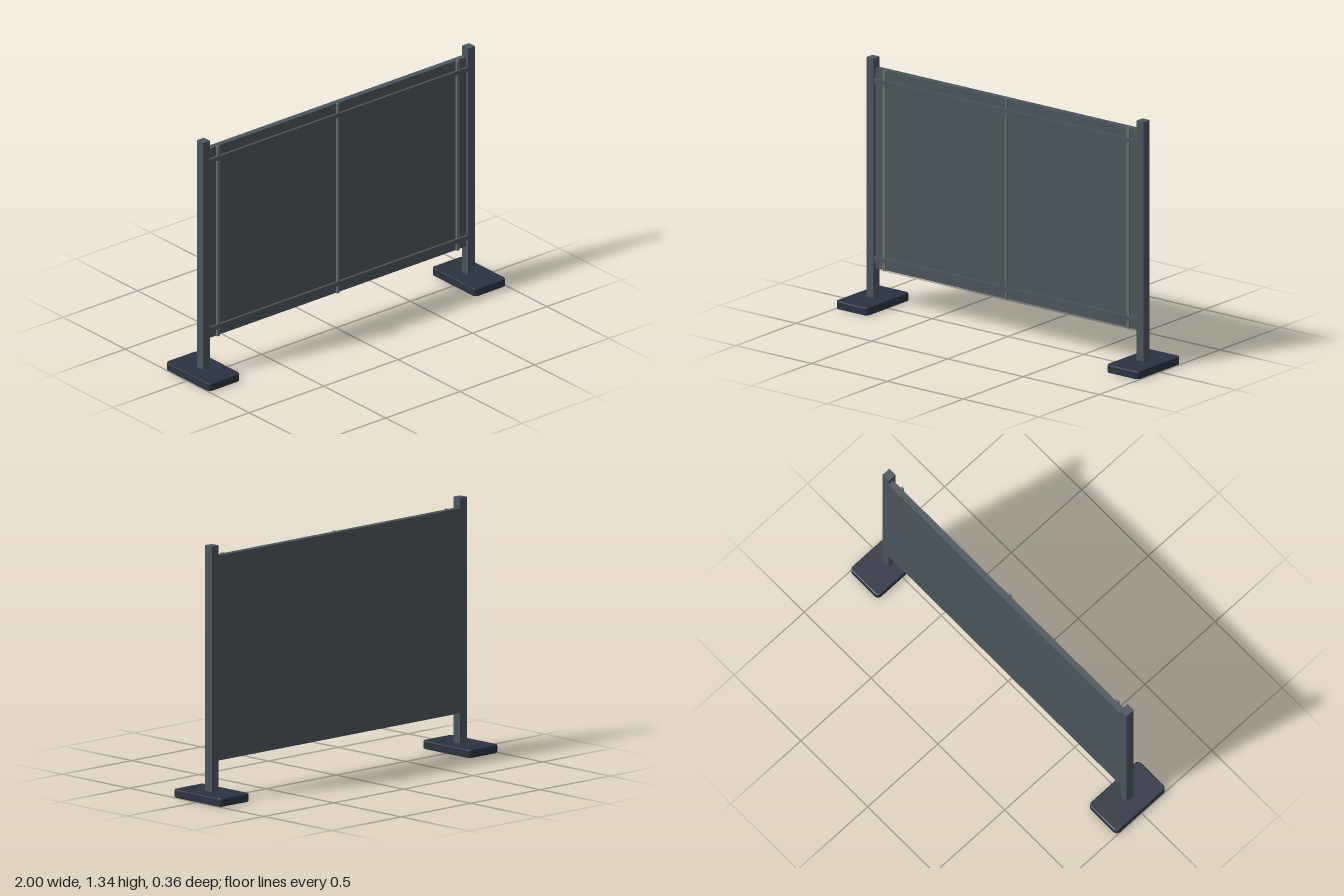
import * as THREE from 'three';

export function createModel() {
  const model = new THREE.Group();
  model.name = 'partitionScreen';

  const material = (name, color) => {
    const m = new THREE.MeshStandardMaterial({ color });
    m.name = name;
    return m;
  };
  const slate = material('slate grey', 0x4b565b);
  const steel = material('light steel', 0x6a7173);
  const navy = material('dark navy', 0x2c3441);

  // Adds a box given by its min and max corners
  const addBox = (name, mat, [x0, y0, z0], [x1, y1, z1]) => {
    const mesh = new THREE.Mesh(new THREE.BoxGeometry(x1 - x0, y1 - y0, z1 - z0), mat);
    mesh.position.set((x0 + x1) / 2, (y0 + y1) / 2, (z0 + z1) / 2);
    mesh.name = name;
    model.add(mesh);
  };

  // Rounded foot slab with a small bevel, lying flat
  const bevel = 0.006, height = 0.045;
  const w = 0.1065 - bevel, d = 0.178 - bevel, r = 0.018;
  const outline = new THREE.Shape();
  outline.absarc(w - r, d - r, r, 0, Math.PI / 2);
  outline.absarc(-w + r, d - r, r, Math.PI / 2, Math.PI);
  outline.absarc(-w + r, -d + r, r, Math.PI, Math.PI * 1.5);
  outline.absarc(w - r, -d + r, r, Math.PI * 1.5, Math.PI * 2);
  outline.closePath();
  const footGeometry = new THREE.ExtrudeGeometry(outline, {
    depth: height - 2 * bevel, bevelEnabled: true, bevelSize: bevel,
    bevelThickness: bevel, bevelSegments: 2, curveSegments: 5,
  });
  footGeometry.rotateX(-Math.PI / 2).translate(0, bevel, 0);

  // Feet and posts, one pair per side
  for (const [side, s] of [['left', 1], ['right', -1]]) {
    const foot = new THREE.Mesh(footGeometry, navy);
    foot.position.x = s * 0.8935;
    foot.name = side + 'Foot';
    model.add(foot);
    const cx = s * 0.8915;
    addBox(side + 'Post', slate, [cx - 0.0235, 0.044, -0.025], [cx + 0.0235, 1.34, 0.025]);
  }

  // Screen panel, flush with the back of the posts
  addBox('panel', slate, [-0.869, 0.205, -0.0245], [0.869, 1.285, 0.008]);

  // Horizontal rails on the front
  addBox('lowerRail', slate, [-0.869, 0.248, 0.007], [0.869, 0.271, 0.022]);
  addBox('upperRail', slate, [-0.869, 1.209, 0.007], [0.869, 1.231, 0.022]);

  // Vertical rods passing behind the rails
  for (const [name, x, half] of [['rightRod', -0.805, 0.008], ['centreRod', 0, 0.006], ['leftRod', 0.805, 0.008]]) {
    addBox(name, steel, [x - half, 0.204, 0.007], [x + half, 1.286, 0.019]);
  }

  return model;
}
